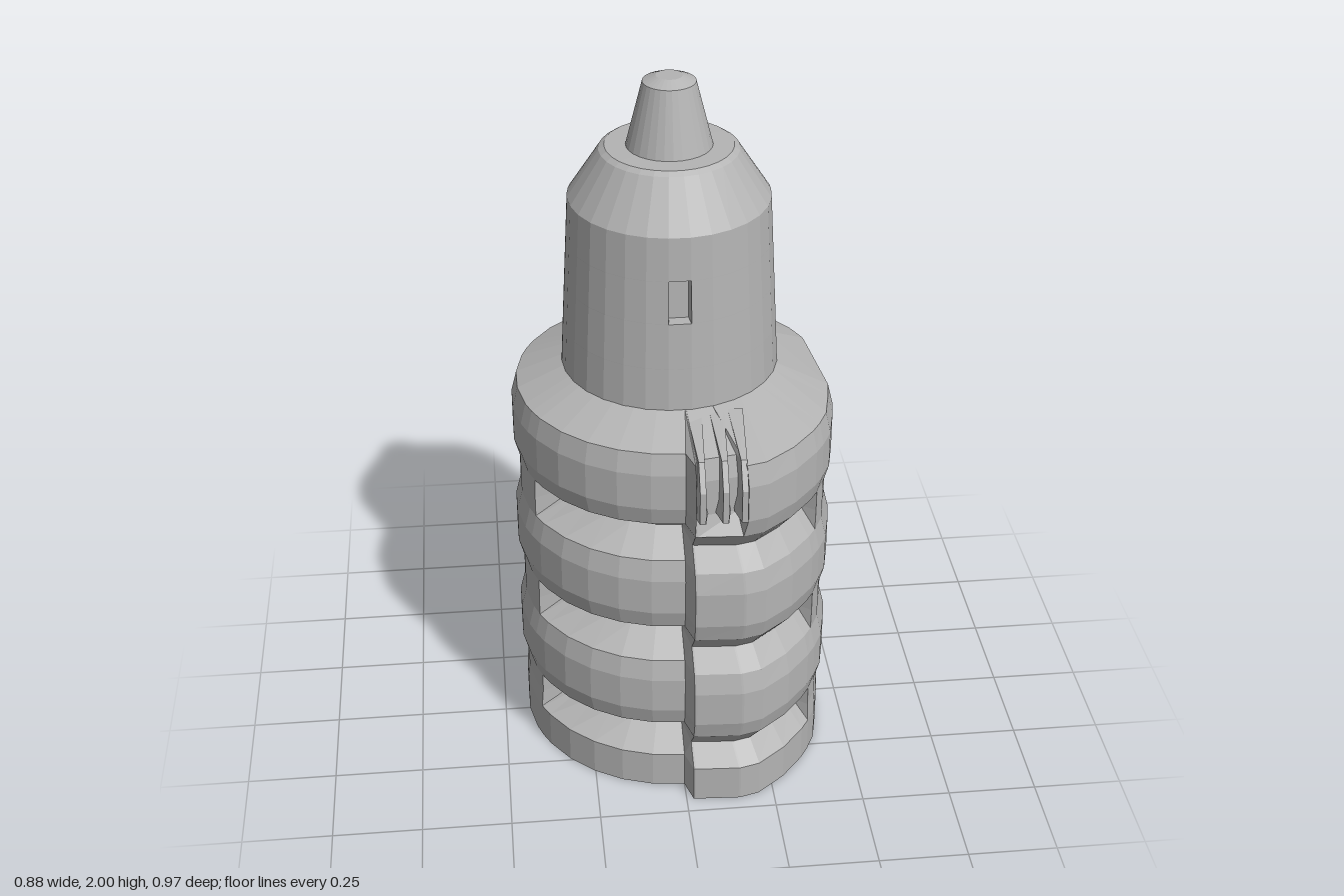
import * as THREE from 'three';

const grey = new THREE.MeshStandardMaterial({ color: 0xb4b4b4, flatShading: true });
grey.name = 'plain grey';
const AXIS_Z = -0.045;

// Closed skin around the vertical axis: radius(angle, row) at every angle (degrees, +x towards +z)
function skin(name, angles, rows, radius) {
  const pos = [], idx = [], n = angles.length;
  for (const row of rows) {
    for (const a of angles) {
      const r = radius(a, row), t = a * Math.PI / 180;
      pos.push(r * Math.cos(t), row.y, r * Math.sin(t) + AXIS_Z);
    }
  }
  for (let j = 0; j < rows.length - 1; j++) {
    for (let i = 0; i < n; i++) {
      const k = (i + 1) % n, a = j * n + i, b = j * n + k;
      idx.push(a, a + n, b, b, a + n, b + n);
    }
  }
  const g = new THREE.BufferGeometry();
  g.setAttribute('position', new THREE.Float32BufferAttribute(pos, 3));
  g.setIndex(idx);
  g.computeVertexNormals();
  const mesh = new THREE.Mesh(g, grey);
  mesh.name = name;
  return mesh;
}

// Linear lookup in a list of [key, value]
function lookup(table, x) {
  for (let i = 1; i < table.length; i++) {
    const [x0, v0] = table[i - 1], [x1, v1] = table[i];
    if (x >= x0 && x <= x1) return v0 + (v1 - v0) * (x - x0) / (x1 - x0);
  }
  return 0;
}

// How far the front left quarter bulges beyond the round body
const BULGE = [[-21, 0], [14.6, 0.015], [22, 0.024], [33, 0.048], [45, 0.066], [56, 0.083],
  [67, 0.1], [73, 0.095], [87.7, 0.065], [90, 0]];

// Arcs where the grooves are cut: [start, end]; the sides between stay filled
const GROOVES = [[40, 156], [204, 330]];

function grooveRadius(a) {
  if (!GROOVES.some(([s, e]) => a > s && a < e)) return 0.425;
  if (a < 90) return 0.375;
  const fromSide = Math.min(Math.abs(a - 180), 360 - a);
  return 0.34 - 0.055 * Math.max(0, (60 - fromSide) / 36);
}

// Ribbed lower body with its step at the front
function makeBody() {
  const angles = BULGE.map(([a]) => (a + 360) % 360);
  for (let a = 102; a < 336; a += 12) angles.push(a);
  for (const [s, e] of GROOVES) angles.push(s - 0.2, s + 0.2, e - 0.2, e + 0.2);
  angles.push(73.6, 87);
  angles.sort((p, q) => p - q);

  const rows = [{ y: 0, r: 0 }, { y: 0, r: 0.43 }, { y: 0.11, r: 0.43 }];
  for (const y of [0.165, 0.505, 0.845]) {
    rows.push({ y, groove: true }, { y: y + 0.06, r: 0.425 }, { y: y + 0.115, r: 0.44 },
      { y: y + 0.22, r: 0.44 }, { y: y + 0.28, r: 0.425 });
  }
  rows.push({ y: 1.18, r: 0.297, plain: true }, { y: 1.18, r: 0, plain: true });

  return skin('ribbedBody', angles, rows, (a, row) => {
    if (row.plain || row.r === 0) return row.r;
    let bulge = lookup(BULGE, a > 330 ? a - 360 : a);
    if (row.y > 0.95 && a > 73.5 && a < 87.5) bulge = 0.035; // seat of the thumb ridges
    return (row.groove ? grooveRadius(a) : row.r) + bulge;
  });
}

// Tapered neck with four sunken slots
function makeNeck() {
  const slots = [[90, 6, 1.43], [270, 6, 1.43], [349, 5.5, 1.3], [191, 5.5, 1.3]]; // centre, half width, foot
  const top = 1.55, e = 0.0005;
  const angles = [];
  for (let a = 0; a < 360; a += 12) {
    if (!slots.some(([c, w]) => Math.abs(Math.abs(a - c) - w) < 0.6)) angles.push(a);
  }
  for (const [c, w] of slots) angles.push(c - w - 0.1, c - w + 0.1, c + w - 0.1, c + w + 0.1);
  angles.sort((p, q) => p - q);

  const wall = y => 0.297 - 0.027 * (y - 1.18) / 0.49;
  const rows = [{ y: 1.175, r: 0.297 }];
  for (const y of [1.3, 1.43, top]) rows.push({ y: y - e, r: wall(y) }, { y: y + e, r: wall(y) });
  rows.push({ y: 1.67, r: 0.27 }, { y: 1.8, r: 0.185 }, { y: 1.81, r: 0.17 }, { y: 1.812, r: 0 });

  return skin('slottedNeck', angles, rows, (a, { y, r }) => {
    const sunk = slots.some(([c, w, foot]) => Math.abs(a - c) < w && y > foot && y < top);
    return sunk ? r - 0.035 : r;
  });
}

// Small conical tip
function makeTip() {
  const profile = [[0.115, 1.808], [0.07, 1.985], [0.035, 2], [0, 2]];
  const g = new THREE.LatheGeometry(profile.map(([x, y]) => new THREE.Vector2(x, y)), 30);
  const tip = new THREE.Mesh(g, grey);
  tip.name = 'tip';
  tip.position.z = AXIS_Z;
  return tip;
}

// One upright thumb ridge: wide at the root, narrow at the crest
function makeRidge(x) {
  const side = [[0.25, 1.1], [0.25, 1.175], [0.44, 1.135], [0.483, 1.065], [0.483, 0.97], [0.42, 0.965]];
  const shape = new THREE.Shape(side.map(([z, y]) => new THREE.Vector2(-z, y)));
  const g = new THREE.ExtrudeGeometry(shape, { depth: 0.04, bevelEnabled: false });
  g.translate(0, 0, -0.02);
  g.rotateY(Math.PI / 2); // profile now lies in the y-z plane, width along x
  const p = g.attributes.position;
  for (let i = 0; i < p.count; i++) if (p.getZ(i) > 0.43) p.setX(i, p.getX(i) * 0.4);
  g.computeVertexNormals();
  const ridge = new THREE.Mesh(g, grey);
  ridge.name = 'thumbRidge';
  ridge.position.x = x;
  return ridge;
}

export function createModel() {
  const model = new THREE.Group();
  model.name = 'ribbedBottle';
  model.add(makeBody(), makeNeck(), makeTip());
  const ridges = new THREE.Group();
  ridges.name = 'thumbRidges';
  for (const x of [0.035, 0.095, 0.145]) ridges.add(makeRidge(x));
  model.add(ridges);
  return model;
}
